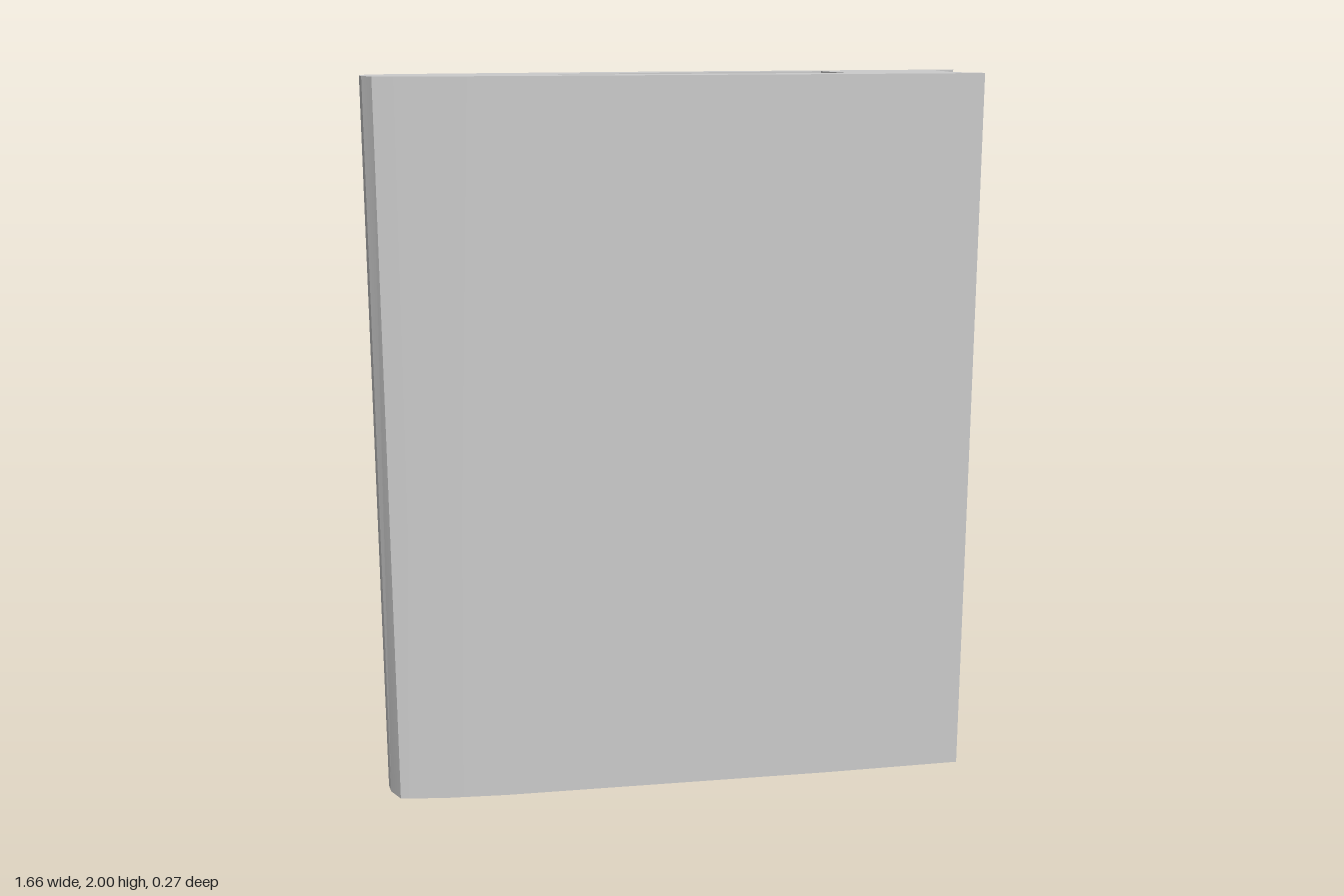
import * as THREE from 'three';
import { toCreasedNormals } from 'three/addons/utils/BufferGeometryUtils.js';

// Outline as [x, z]: nose, front side, grooved edge, back side
const base = [
  [-0.83, -0.02], [-0.825, 0.02], [-0.8, 0.072], [-0.68, 0.092], [-0.5, 0.106], [0, 0.12],
  [0.42, 0.132], [0.826, 0.135], [0.826, 0.105], [0.76, 0.05], [0.765, -0.095], [0.81, -0.105],
  [0.826, -0.115], [0.826, -0.137], [0, -0.135], [-0.2, -0.13], [-0.35, -0.12], [-0.6, -0.105],
  [-0.75, -0.09], [-0.81, -0.08],
];
const pocket = [[-0.35, 0.025], [0, 0.032], [0.46, 0.05], [0.43, -0.08], [0, -0.055], [-0.28, -0.02]];
const H = 2, POCKET_Y = 1.89;

// The front side leans back slightly towards the nose at the top
const rim = base.map(([x, z]) => [x, z > 0.05 && x < 0.6 ? z - 0.011 * (0.6 - x) : z]);

// The underside lifts a little at the groove
const footY = (x) => (x > 0.7 && x < 0.8 ? 0.015 : 0);

const vecs = (pts, s) => pts.map(([x, z]) => new THREE.Vector2(x, s * z));

// Ring of quads between two loops of corners
function wall(low, high, yLow, inward = false) {
  const pos = [];
  low.forEach((p, i) => {
    const j = (i + 1) % low.length;
    const a = [p[0], yLow(p[0]), p[1]];
    const b = [low[j][0], yLow(low[j][0]), low[j][1]];
    const c = [high[j][0], H, high[j][1]];
    const d = [high[i][0], H, high[i][1]];
    pos.push(...(inward ? [a, c, b, a, d, c] : [a, b, c, a, c, d]).flat());
  });
  const g = new THREE.BufferGeometry();
  g.setAttribute('position', new THREE.Float32BufferAttribute(pos, 3));
  g.computeVertexNormals();
  return toCreasedNormals(g, 0.4);
}

// Flat cap facing up
function cap(pts, y, hole) {
  const shape = new THREE.Shape(vecs(pts, -1));
  if (hole) shape.holes.push(new THREE.Path(vecs(hole, -1)));
  return new THREE.ShapeGeometry(shape).rotateX(-Math.PI / 2).translate(0, y, 0);
}

export function createModel() {
  const group = new THREE.Group();
  const material = new THREE.MeshStandardMaterial({ color: 0xcccccc });
  const add = (name, geometry) => {
    const mesh = new THREE.Mesh(geometry, material);
    mesh.name = name;
    group.add(mesh);
  };

  add('sideWalls', wall(base, rim, footY));
  add('topFace', cap(rim, H, pocket));

  // Underside, facing down
  const under = new THREE.ShapeGeometry(new THREE.Shape(vecs(base, 1))).rotateX(Math.PI / 2);
  const p = under.attributes.position;
  for (let i = 0; i < p.count; i++) p.setY(i, footY(p.getX(i)));
  under.computeVertexNormals();
  add('underside', under);

  // Recess in the top
  add('pocketWalls', wall(pocket, pocket, () => POCKET_Y, true));
  add('pocketFloor', cap(pocket, POCKET_Y));
  return group;
}
